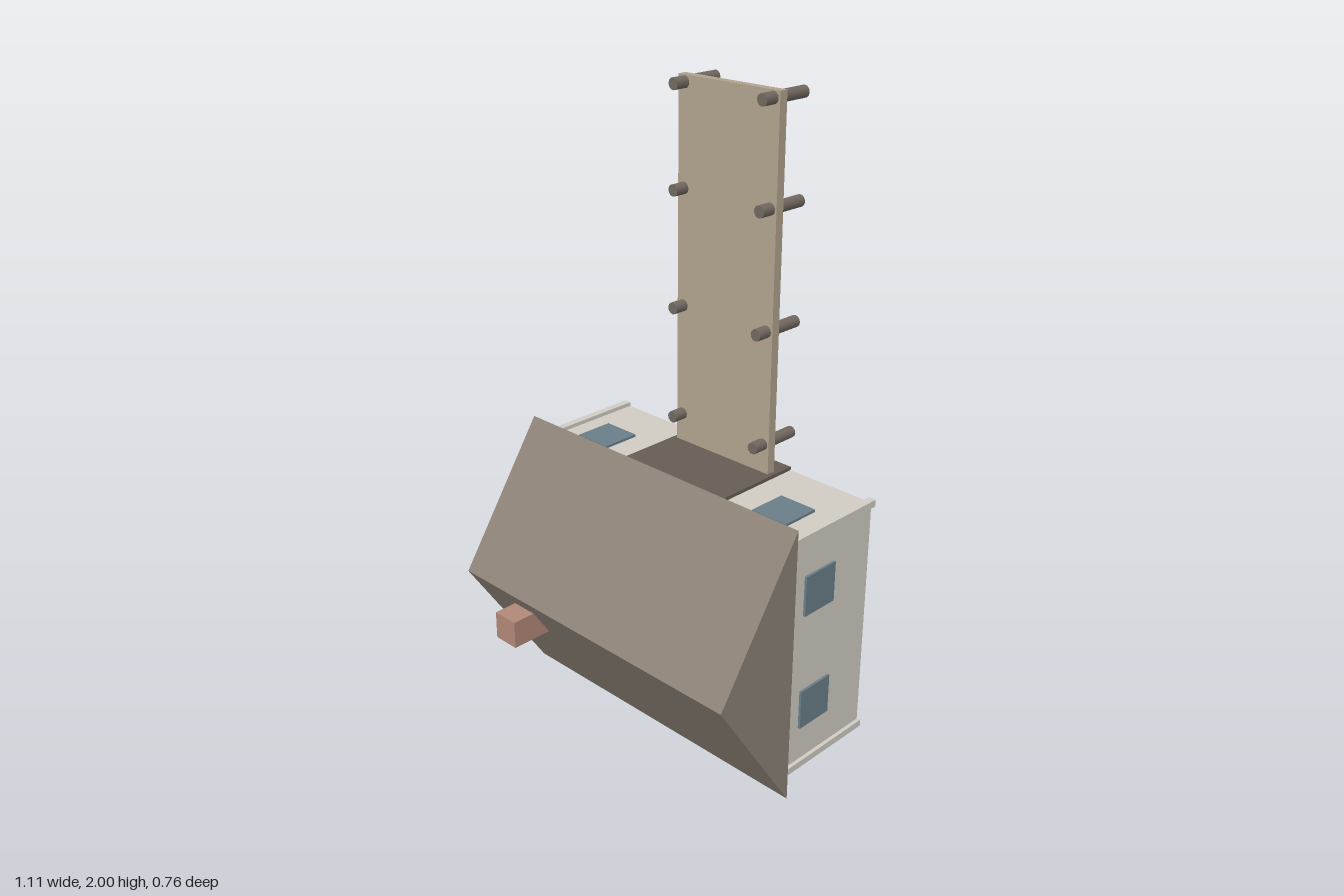
import * as THREE from 'three';

const paint = (name, color) => {
  const m = new THREE.MeshStandardMaterial({ color });
  m.name = name;
  return m;
};

export function createModel() {
  const wall = paint('pale wall', 0xd0cbc2);
  const roofing = paint('roof brown', 0x8b8176);
  const planks = paint('dock planks', 0xb0a28d);
  const timber = paint('dark timber', 0x716860);
  const doorPaint = paint('door brown', 0x665d52);
  const glass = paint('window blue', 0x6a7e88);
  const brick = paint('brick', 0xb08777);

  const model = new THREE.Group();
  model.name = 'boathouse';
  const CX = -0.002;  // axis of symmetry
  const MID = 0.4535; // ridge height

  const add = (name, geometry, material, x = 0, y = 0, z = 0) => {
    const mesh = new THREE.Mesh(geometry, material);
    mesh.name = name;
    mesh.position.set(x, y, z);
    model.add(mesh);
    return mesh;
  };
  // Box given by its minimum and maximum on each axis
  const box = (name, material, x0, x1, y0, y1, z0, z1) =>
    add(name, new THREE.BoxGeometry(x1 - x0, y1 - y0, z1 - z0), material,
      (x0 + x1) / 2, (y0 + y1) / 2, (z0 + z1) / 2);

  // House lies on its long side: its own "up" runs along +z
  box('walls', wall, CX - 0.517, CX + 0.517, 0.068, 0.84, -0.339, 0.04);
  box('eaveTrim', wall, CX - 0.527, CX + 0.527, 0.058, 0.85, 0.03, 0.04);
  for (const sx of [-1, 1]) {
    for (const sy of [-1, 1]) {
      add('cornerPost', new THREE.BoxGeometry(0.024, 0.022, 0.382), wall,
        CX + sx * 0.517, MID + sy * 0.388, -0.151);
    }
  }

  // Gable roof: triangular section swept along x
  const section = new THREE.Shape([
    new THREE.Vector2(-0.04, 0),
    new THREE.Vector2(-0.04, 0.905),
    new THREE.Vector2(-0.34, MID),
  ]);
  const roof = new THREE.ExtrudeGeometry(section, { depth: 1.107, bevelEnabled: false });
  roof.rotateY(Math.PI / 2);
  add('roof', roof, roofing, CX - 0.5535);

  // Chimney
  box('chimney', brick, -0.37, -0.28, 0.305, 0.396, 0.15, 0.38);

  // Boat door and windows
  box('boatDoor', doorPaint, CX - 0.207, CX + 0.207, 0.835, 0.851, -0.341, -0.021);
  for (const s of [-1, 1]) {
    const x = CX + s * 0.373;
    box('frontWindow', glass, x - 0.064, x + 0.064, 0.839, 0.848, -0.177, -0.047);
    for (const y of [0.259, 0.648]) {
      const side = CX + s * 0.5205;
      box('sideWindow', glass, side - 0.0045, side + 0.0045, y - 0.065, y + 0.065, -0.173, -0.043);
    }
  }

  // Dock with its pairs of piles
  box('dock', planks, CX - 0.192, CX + 0.192, 0.84, 2, -0.279, -0.25);
  const pile = new THREE.CylinderGeometry(0.0185, 0.0185, 0.178, 12);
  pile.rotateX(Math.PI / 2);
  for (const y of [0.945, 1.305, 1.67, 1.979]) {
    for (const s of [-1, 1]) add('dockPile', pile, timber, CX + s * 0.168, y, -0.292);
  }
  return model;
}
